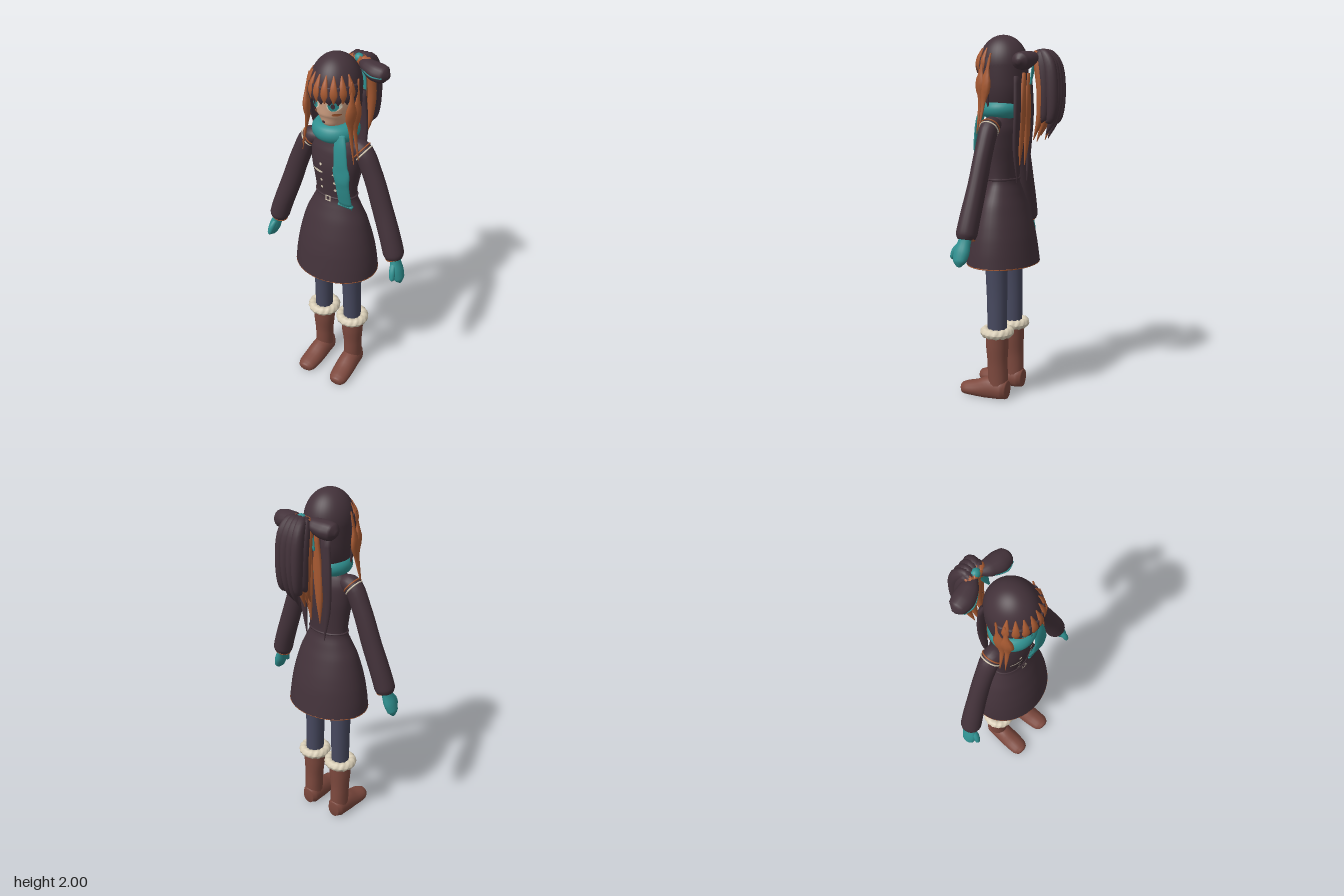
import * as THREE from 'three';

const mat = (name, color, side = THREE.FrontSide) => {
  const m = new THREE.MeshStandardMaterial({ color, side });
  m.name = name;
  return m;
};
const PLUM = mat('plum', 0x43323a, THREE.DoubleSide);
const ORANGE = mat('orange', 0xa85a32);
const TEAL = mat('teal', 0x2f9090);
const SKIN = mat('skin', 0xd6a586);
const LEATHER = mat('leather', 0x7d493e);
const TIGHTS = mat('tights', 0x47495f);
const CREAM = mat('cream', 0xd8cdb6, THREE.DoubleSide);

// Swept body: rows are [x, y, z, half width, half depth], depth measured towards ref
function sweep(rows, { ref = [0, 0, 1], steps = 24, sides = 16, caps = true } = {}) {
  const curve = new THREE.CatmullRomCurve3(rows.map(r => new THREE.Vector3(r[0], r[1], r[2])));
  const size = new THREE.CatmullRomCurve3(rows.map(r => new THREE.Vector3(r[3], r[4], 0)));
  const R = new THREE.Vector3(...ref), pos = [], idx = [];
  for (let k = 0; k <= steps; k++) {
    const c = curve.getPoint(k / steps), t = curve.getTangent(k / steps), s = size.getPoint(k / steps);
    const u = t.clone().cross(R).normalize(), v = u.clone().cross(t);
    for (let i = 0; i < sides; i++) {
      const a = i / sides * Math.PI * 2;
      const p = c.clone().addScaledVector(u, Math.cos(a) * s.x).addScaledVector(v, Math.sin(a) * s.y);
      pos.push(p.x, p.y, p.z);
      if (k < steps) {
        const j = (i + 1) % sides, A = k * sides, B = A + sides;
        idx.push(A + i, B + i, A + j, A + j, B + i, B + j);
      }
    }
  }
  if (caps) {
    const n = pos.length / 3, a = rows[0], b = rows[rows.length - 1], L = steps * sides;
    pos.push(a[0], a[1], a[2], b[0], b[1], b[2]);
    for (let i = 0; i < sides; i++) {
      const j = (i + 1) % sides;
      idx.push(n, i, j, n + 1, L + j, L + i);
    }
  }
  const g = new THREE.BufferGeometry();
  g.setAttribute('position', new THREE.Float32BufferAttribute(pos, 3));
  g.setIndex(idx);
  g.computeVertexNormals();
  return g;
}

// Front surface depth of an upright swept body at (x, y)
function frontZ(rows, x, y) {
  let k = 0;
  while (k < rows.length - 2 && rows[k + 1][1] < y) k++;
  const f = (y - rows[k][1]) / (rows[k + 1][1] - rows[k][1]);
  const [z, a, b] = [2, 3, 4].map(i => rows[k][i] + (rows[k + 1][i] - rows[k][i]) * f);
  return z + b * Math.sqrt(Math.max(0, 1 - (x / a) ** 2));
}

// Thin painted patch that follows the front of a body
function patch(rows, x, y, rx, ry, lift, ringInner = 0) {
  const g = ringInner ? new THREE.RingGeometry(ringInner, 1, 4, 1, Math.PI / 4) : new THREE.CircleGeometry(1, 20);
  g.scale(rx, ry, 1).translate(x, y, 0);
  const p = g.attributes.position;
  for (let i = 0; i < p.count; i++) p.setZ(i, frontZ(rows, p.getX(i), p.getY(i)) + lift);
  g.computeVertexNormals();
  return g;
}

const COAT = [[0, .77, .07, .24, .195], [0, .84, .07, .234, .185], [0, .92, .07, .222, .172], [0, 1, .07, .204, .153],
  [0, 1.1, .069, .174, .122], [0, 1.17, .067, .14, .096], [0, 1.235, .066, .115, .077], [0, 1.32, .068, .122, .084],
  [0, 1.42, .07, .137, .09], [0, 1.5, .066, .14, .082], [0, 1.55, .066, .122, .066], [0, 1.6, .066, .06, .05]];
const FACE = [[0, 1.63, .115, .02, .025], [0, 1.65, .108, .047, .057], [0, 1.69, .092, .076, .09], [0, 1.75, .078, .1, .109],
  [0, 1.82, .07, .112, .122], [0, 1.9, .067, .1, .11], [0, 1.95, .067, .05, .06]];

// Point on the hair cap at an angle from the front
const hair = (phi, y, out = 1) => {
  const s = (y > 1.84 ? Math.sqrt(1 - ((y - 1.84) / .16) ** 2) : 1) * out;
  return [Math.sin(phi) * .127 * s, y, .067 + Math.cos(phi) * .137 * s];
};

export function createModel() {
  const model = new THREE.Group();
  const add = (name, geo, material) => {
    const m = new THREE.Mesh(geo, material);
    m.name = name;
    model.add(m);
    return m;
  };
  const flip = (rows, s) => rows.map(([x, ...r]) => [x * s, ...r]);
  const hoop = (name, material, y, z, rx, rz, tube) => {
    const g = new THREE.TorusGeometry(1, tube / rx, 8, 48).rotateX(Math.PI / 2).scale(rx, rx, rz);
    add(name, g, material).position.set(0, y, z);
  };

  // Coat, belt and trim
  add('coat', sweep(COAT, { steps: 48, sides: 40, caps: false }), PLUM);
  hoop('hemTrim', ORANGE, .769, .07, .237, .192, .004);
  hoop('belt', PLUM, 1.235, .066, .116, .078, .006);
  add('buckle', patch(COAT, 0, 1.235, .022, .022, .01, .65), CREAM);
  for (const s of [-1, 1]) {
    for (const y of [1.29, 1.335, 1.43]) add('button', patch(COAT, s * .04, y, .008, .008, .004), CREAM);
    add('chestTab', patch(COAT, s * .062, 1.385, .036, .008, .005), CREAM);
  }

  // Head, neck and face details
  add('head', sweep(FACE, { steps: 30, sides: 32 }), SKIN);
  add('neck', new THREE.CylinderGeometry(.045, .05, .14, 20).translate(0, 1.61, .066), SKIN);
  for (const s of [-1, 1]) {
    add('eyeWhite', patch(FACE, s * .052, 1.78, .032, .028, .003), CREAM);
    add('eyeIris', patch(FACE, s * .051, 1.781, .023, .027, .0045), TEAL);
    add('eyePupil', patch(FACE, s * .051, 1.78, .009, .014, .006), PLUM);
    add('lash', patch(FACE, s * .053, 1.804, .035, .006, .007), PLUM);
    add('blush', patch(FACE, s * .06, 1.732, .018, .008, .003), ORANGE);
  }
  add('mouth', patch(FACE, 0, 1.69, .008, .008, .003), PLUM);

  // Hair cap and back curtain
  add('hairCap', new THREE.SphereGeometry(1, 40, 24, 0, Math.PI * 2, 0, Math.PI * .55)
    .scale(.127, .16, .137).translate(0, 1.84, .067), PLUM);
  const fall = [[.62, 1.6], [.86, 1.65], [.97, 1.74], [1, 1.84]].map(p => new THREE.Vector2(...p));
  add('hairBack', new THREE.LatheGeometry(fall, 32, 1.2, Math.PI * 2 - 2.4)
    .scale(.127, 1, .137).translate(0, 0, .067), PLUM);

  // Fringe: dark tips with orange leaves over them
  const lock = (name, path, widths, thick, material, ref) => add(name,
    sweep(path.map((p, i) => [...p, widths[i], Math.min(thick, widths[i])]), { ref, steps: 14, sides: 8 }), material);
  for (let i = 0; i < 9; i++) {
    const phi = (i - 4) * .33, out = [Math.sin(phi), 0, Math.cos(phi)];
    lock('fringeTip', [hair(phi, 1.88), hair(phi, 1.83, 1.02), hair(phi, 1.79, 1)], [.02, .026, .002], .01, PLUM, out);
    if (i < 8) {
      const q = phi + .165, o = [Math.sin(q), 0, Math.cos(q)];
      lock('fringeLeaf', [hair(q, 1.93, 1.01), hair(q, 1.88, 1.04), hair(q, 1.845, 1.06), hair(q, 1.8, 1.04)],
        [.003, .016, .02, .002], .008, ORANGE, o);
    }
  }

  for (const s of [-1, 1]) {
    // Side locks
    const side = [s, 0, .3];
    lock('sideLock', flip([[.118, 1.9, .12], [.128, 1.8, .135], [.125, 1.67, .14], [.15, 1.48, .15]], s),
      [.004, .014, .014, .002], .008, ORANGE, side);
    lock('sideLock', flip([[.128, 1.9, .075], [.134, 1.8, .095], [.134, 1.66, .115], [.165, 1.5, .13]], s),
      [.004, .014, .014, .002], .008, ORANGE, side);
    lock('darkSideLock', flip([[.12, 1.86, .1], [.122, 1.74, .11], [.112, 1.62, .1]], s),
      [.016, .024, .004], .012, PLUM, side);
    // Locks down the back
    lock('backLock', flip([[.07, 1.78, -.05], [.08, 1.6, -.055], [.078, 1.4, -.045], [.06, 1.22, -.045]], s),
      [.03, .032, .022, .002], .014, PLUM);
    lock('backStreak', flip([[.025, 1.8, -.066], [.03, 1.6, -.062], [.034, 1.45, -.055], [.03, 1.31, -.045]], s),
      [.012, .03, .022, .002], .014, ORANGE);

    // Bow loop with lining edge
    add('bowLoop', sweep(flip([[.01, 1.885, -.145, .014, .015], [.06, 1.875, -.13, .034, .045], [.12, 1.86, -.116, .047, .056],
      [.165, 1.855, -.112, .043, .046], [.19, 1.85, -.112, .012, .012]], s)), PLUM);
    add('bowLining', new THREE.TubeGeometry(new THREE.CatmullRomCurve3([[.02, 1.88, -.128], [.06, 1.868, -.084],
      [.12, 1.855, -.058], [.17, 1.85, -.071]].map(([x, y, z]) => new THREE.Vector3(x * s, y, z))), 16, .004, 6), TEAL);

    // Sleeves with shoulder trim and cuffs
    add('sleeve', sweep(flip([[.09, 1.53, .066, .035, .04], [.15, 1.52, .068, .052, .05], [.215, 1.4, .07, .053, .047],
      [.28, 1.22, .076, .056, .048], [.335, 1.07, .086, .056, .054], [.362, .985, .092, .056, .056],
      [.368, .955, .093, .046, .046]], s), { steps: 32, sides: 20 }), PLUM);
    const ring = (name, x, y, z, r, tube, tilt, material) => {
      const m = add(name, new THREE.TorusGeometry(r, tube, 8, 28).rotateX(Math.PI / 2), material);
      m.position.set(x * s, y, z);
      m.rotation.z = tilt * s;
    };
    ring('shoulderTrim', .162, 1.51, .068, .0505, .004, .9, CREAM);
    ring('shoulderPiping', .15, 1.522, .068, .0505, .004, .9, ORANGE);
    ring('cuffPiping', .368, .957, .093, .044, .004, .35, ORANGE);

    // Mittens
    add('mitten', sweep(flip([[.362, .98, .093, .03, .033], [.378, .94, .098, .026, .036], [.395, .89, .105, .03, .044],
      [.412, .845, .108, .025, .036], [.421, .818, .108, .006, .01]], s)), TEAL);
    add('thumb', sweep(flip([[.378, .935, .115, .016, .016], [.388, .9, .146, .017, .017],
      [.395, .862, .16, .013, .013], [.396, .85, .162, .003, .003]], s), { steps: 14, sides: 12 }), TEAL);

    // Legs and boots
    add('leg', sweep(flip([[.092, .95, .065, .066, .07], [.092, .75, .065, .058, .063], [.094, .58, .062, .052, .058],
      [.097, .36, .06, .05, .054]], s)), TIGHTS);
    add('bootShaft', sweep(flip([[.097, .39, .06, .066, .066], [.098, .3, .06, .063, .063], [.1, .2, .057, .054, .057],
      [.1, .12, .055, .052, .058], [.1, .05, .052, .052, .055]], s)), LEATHER);
    const foot = sweep(flip([[.1, .05, -.006, .036, .052], [.1, .052, .025, .055, .066], [.102, .05, .09, .057, .068],
      [.106, .033, .18, .059, .05], [.11, .025, .245, .054, .04], [.111, .022, .272, .038, .032],
      [.111, .02, .28, .016, .016]], s), { ref: [0, 1, 0] });
    const fp = foot.attributes.position;
    for (let i = 0; i < fp.count; i++) fp.setY(i, Math.max(0, fp.getY(i)));
    foot.computeVertexNormals();
    add('bootFoot', foot, LEATHER);

    // Fluffy cuff
    const fur = new THREE.TorusGeometry(.068, .026, 12, 48).rotateX(Math.PI / 2);
    const p = fur.attributes.position;
    for (let i = 0; i < p.count; i++) {
      const a = Math.atan2(p.getZ(i), p.getX(i)), k = 1 + .025 * Math.sin(a * 16 + p.getY(i) * 120);
      p.setXYZ(i, p.getX(i) * k, p.getY(i) * (1 + .1 * Math.sin(a * 12)), p.getZ(i) * k);
    }
    fur.computeVertexNormals();
    add('furCuff', fur, CREAM).position.set(s * .097, .385, .06);
  }

  // Bow knot and ribbon tail
  add('bowKnot', new THREE.SphereGeometry(1, 16, 12).scale(.027, .026, .024).translate(0, 1.895, -.147), TEAL);
  for (const s of [-1, 1]) lock('ribbonTail', flip([[.005, 1.88, -.13], [.035, 1.82, -.125], [.055, 1.74, -.12]], s),
    [.008, .018, .006], .005, TEAL);

  // Ponytail: dark outer strands, orange inner ones
  const tail = (x, z, tip, w, material) => add('ponytailStrand', sweep([
    [x * .2, 1.865, -.135, .014, .012], [x * .7, 1.895, -.135 + (z + .135) * .5, w * .8, .024],
    [x, 1.84, z, w, .029], [x * 1.1, 1.7, z - .018, w, .028], [x, 1.56, z - .006, w * .7, .02],
    [x * .85, tip, z + .03, .002, .002]], { ref: [1, 0, 0], steps: 26, sides: 12 }), material);
  for (const [x, tip] of [[-.045, 1.53], [-.015, 1.46], [.018, 1.48], [.048, 1.55]]) tail(x, -.222, tip, .034, PLUM);
  for (const s of [-1, 1]) tail(s * .05, -.185, 1.62, .03, PLUM);
  for (const [x, z, tip] of [[-.05, -.165, 1.47], [-.02, -.155, 1.44], [.02, -.15, 1.45], [.05, -.165, 1.46], [-.038, -.195, 1.45],
    [.038, -.19, 1.47]]) tail(x, z, tip, .026, ORANGE);

  // Scarf wrap, hanging end and fringe
  add('scarf', new THREE.TorusGeometry(.078, .045, 16, 40).rotateX(Math.PI / 2).scale(1, 1.05, .97)
    .translate(0, 1.61, .07), TEAL);
  add('scarfEnd', sweep([[.07, 1.62, .15, .03, .012], [.082, 1.56, .168, .036, .012], [.09, 1.46, .176, .04, .011],
    [.094, 1.34, .166, .04, .011], [.095, 1.215, .138, .04, .01]]), TEAL);
  for (let i = 0; i < 6; i++) {
    const x = .062 + i * .0132;
    lock('scarfFringe', [[x, 1.222, .138], [x, 1.205, .135], [x, 1.19, .131]], [.006, .006, .002], .006, TEAL);
  }
  return model;
}
